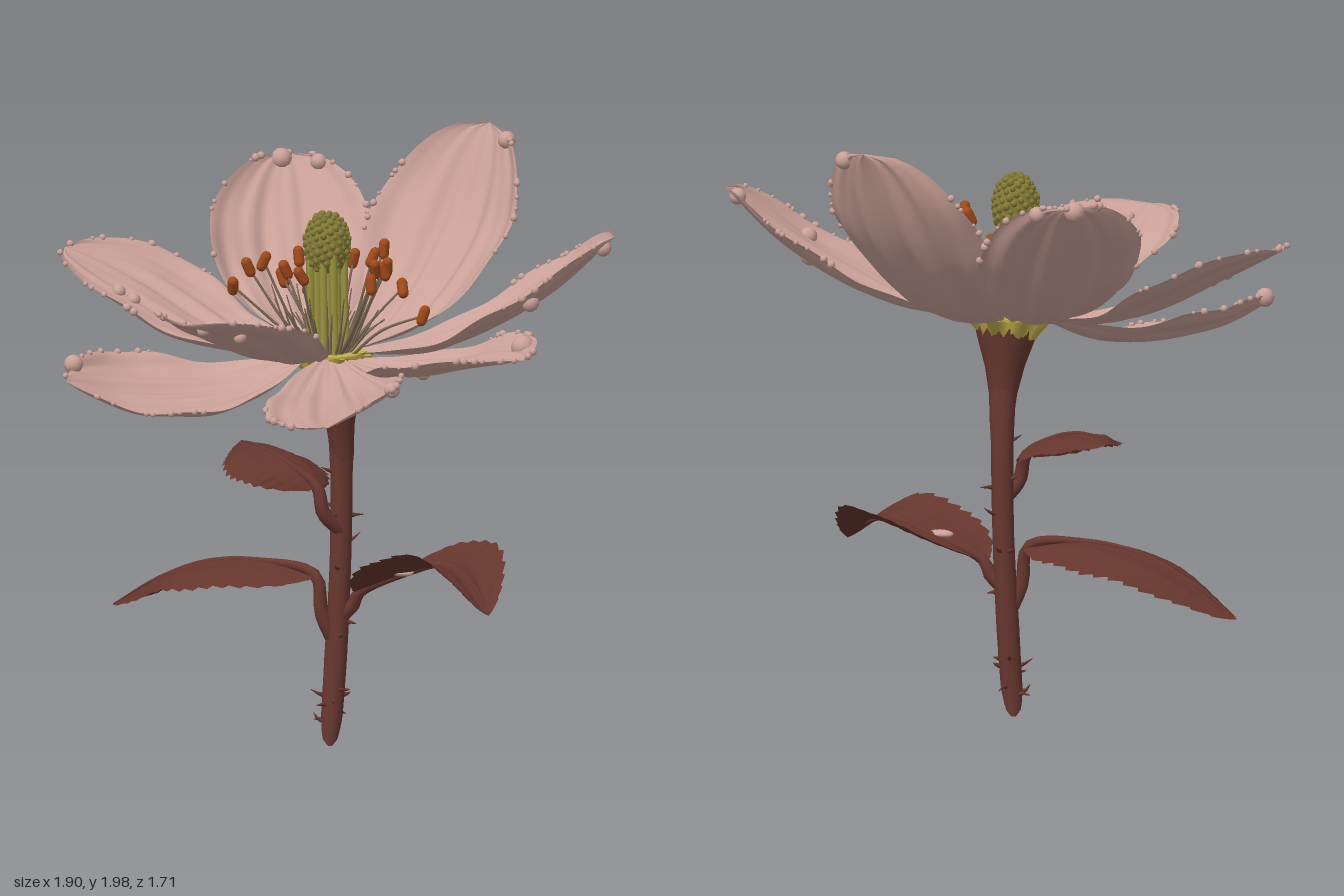
import * as THREE from 'three';
import { mergeGeometries } from 'three/addons/utils/BufferGeometryUtils.js';
import { ParametricGeometry } from 'three/addons/geometries/ParametricGeometry.js';

const V = (a) => new THREE.Vector3(...a);
const mat = (name, color, side = THREE.FrontSide) => {
  const m = new THREE.MeshStandardMaterial({ color, side });
  m.name = name;
  return m;
};

// Small seeded random generator
let seed = 11;
const rand = (a = 0, b = 1) => {
  seed = (seed * 16807) % 2147483647;
  return a + (b - a) * (seed / 2147483647);
};

// A curved blade: centre line, width profile, cupping across and roll; returns a point for (t, s)
function blade({ base, mids, tip, width, cup = 0.2, roll = 0, pow = 0.5, peak = 1.5, neck = 0.04, ripple = 0.007, teeth = 0 }) {
  const line = new THREE.CatmullRomCurve3([base, ...mids, tip].map(V));
  const flat = V(tip).sub(V(base)).setY(0).normalize();
  const across = new THREE.Vector3(flat.z, 0, -flat.x);
  return (t, s) => {
    const tan = line.getTangentAt(t);
    const side = across.clone().applyAxisAngle(tan, roll * Math.sin(t * 1.57));
    const up = tan.clone().cross(side).normalize();
    let w = width * Math.pow(Math.max(Math.sin(Math.PI * Math.pow(t, peak)), 0), pow);
    w = Math.max(w, neck * (1 - t)) + 0.002;
    if (teeth) w *= 1 - 0.12 * ((t * teeth) % 1);
    const folds = ripple * Math.sin(t * 3) * (Math.sin(s * 13 + t * 2) + 0.6 * Math.sin(s * 23 - t * 3) + s * s * Math.sin(t * 19 + s * 2));
    return line.getPointAt(t).addScaledVector(side, s * w).addScaledVector(up, cup * w * s * s + folds);
  };
}

function bladeGeometry(at, across, along) {
  const g = new ParametricGeometry((u, v, p) => p.copy(at(v, u * 2 - 1)), across, along);
  g.computeVertexNormals();
  return g;
}

// A tube through points with a radius at each point
function taper(points, radii, sides = 8, steps = 20) {
  const curve = new THREE.CatmullRomCurve3(points.map(V));
  const g = new THREE.TubeGeometry(curve, steps, 1, sides);
  const p = g.attributes.position, v = new THREE.Vector3();
  for (let i = 0; i <= steps; i++) {
    const c = curve.getPointAt(i / steps);
    const k = curve.getUtoTmapping(i / steps) * (radii.length - 1);
    const a = Math.min(Math.floor(k), radii.length - 2);
    const r = THREE.MathUtils.lerp(radii[a], radii[a + 1], k - a);
    for (let j = 0; j <= sides; j++) {
      const n = i * (sides + 1) + j;
      v.fromBufferAttribute(p, n).sub(c).multiplyScalar(r).add(c);
      p.setXYZ(n, v.x, v.y, v.z);
    }
  }
  return g;
}

const ball = (c, r) => new THREE.SphereGeometry(r, 10, 8).translate(c.x, c.y, c.z);

export function createModel() {
  seed = 11;
  const model = new THREE.Group();
  const petalMat = mat('dusty pink', 0xcaa198, THREE.DoubleSide);
  const stemMat = mat('stem brown', 0x683730, THREE.DoubleSide);
  const leafMat = mat('leaf brown', 0x64352d, THREE.DoubleSide);
  const yellow = mat('heart yellow', 0xc2b04c, THREE.DoubleSide);
  const olive = mat('pistil olive', 0x837a36);
  const straw = mat('style green', 0x9d9642);
  const tan = mat('filament tan', 0x7f6c58);
  const orange = mat('anther orange', 0xa04a1c);
  const add = (name, geometry, material, parent = model) => {
    const m = new THREE.Mesh(geometry, material);
    m.name = name;
    parent.add(m);
    return m;
  };

  // Petals, clockwise from the back one
  const petals = [
    { mids: [[0.05, 1.38, -0.4], [0.1, 1.64, -0.67]], tip: [0.12, 1.98, -0.85], width: 0.29, cup: 0.3 },
    { mids: [[-0.28, 1.38, -0.31], [-0.47, 1.62, -0.53]], tip: [-0.57, 1.83, -0.69], width: 0.27, cup: 0.28 },
    { mids: [[-0.4, 1.35, 0], [-0.72, 1.5, 0.04]], tip: [-0.94, 1.61, 0.1], width: 0.28, cup: 0.15, roll: -0.1 },
    { mids: [[-0.2, 1.23, 0.24], [-0.42, 1.24, 0.55]], tip: [-0.53, 1.31, 0.74], width: 0.25, roll: -0.3 },
    { mids: [[0.02, 1.38, 0.36], [0.01, 1.51, 0.66]], tip: [0, 1.58, 0.86], width: 0.27, pow: 0.6 },
    { mids: [[0.2, 1.27, 0.24], [0.4, 1.265, 0.55]], tip: [0.49, 1.27, 0.74], width: 0.23, roll: 0.28 },
    { mids: [[0.4, 1.33, 0.09], [0.73, 1.415, 0.19]], tip: [0.94, 1.46, 0.25], width: 0.24, roll: 0.1, pow: 0.6 },
    { mids: [[0.35, 1.37, -0.18], [0.67, 1.56, -0.34]], tip: [0.87, 1.75, -0.43], width: 0.25 },
  ];
  const flower = new THREE.Group();
  flower.name = 'flower';
  model.add(flower);
  const beads = [];
  const surfaces = petals.map((o, i) => {
    const d = V(o.tip).sub(V([0, 0, -0.05])).setY(0).normalize();
    const base = [d.x * 0.07, 1.32 + (i % 2) * 0.01, -0.05 + d.z * 0.07];
    const at = blade({ base, ...o });
    add('petal', bladeGeometry(at, 40, 40), petalMat, flower);
    // Fine beads along the rim
    for (let k = 0; k < 18; k++) beads.push(ball(at(rand(0.55, 1), k % 2 ? 1 : -1), rand(0.006, 0.014)));
    return at;
  });
  // Big drops: petal, place along, place across, radius
  const drops = [[0, 0.95, -0.8, 0.03], [1, 0.98, 0.2, 0.035], [1, 0.95, -0.8, 0.028], [2, 0.66, 0.45, 0.023], [2, 0.72, 0.48, 0.023],
    [3, 0.94, -0.9, 0.032], [4, 0.87, 0, 0.022], [4, 0.77, 0.35, 0.022], [5, 0.75, 0.9, 0.026], [6, 0.82, 0.75, 0.04],
    [6, 0.45, 0, 0.026], [7, 0.95, -0.2, 0.028], [7, 0.68, -0.75, 0.03]];
  for (const [i, t, s, r] of drops) beads.push(ball(surfaces[i](t, s), r));
  add('dewDrops', mergeGeometries(beads), petalMat, flower);

  // Yellow heart: open flare with a star-shaped rim
  const heart = new THREE.CylinderGeometry(0.13, 0.085, 0.075, 32, 1, true);
  const hp = heart.attributes.position;
  for (let i = 0; i < 33; i++) {
    const k = 1 + 0.22 * Math.cos((i / 32) * Math.PI * 16);
    hp.setXYZ(i, hp.getX(i) * k, hp.getY(i), hp.getZ(i) * k);
  }
  heart.computeVertexNormals();
  add('heart', heart, yellow, flower).position.set(0, 1.298, -0.06);
  add('heartTop', new THREE.CylinderGeometry(0.12, 0.12, 0.008, 24), yellow, flower).position.set(0, 1.335, -0.05);

  // Pistil: bundle of styles and a knobbly head
  const styles = [], knobs = [];
  for (let i = 0; i < 18; i++) {
    const a = i * 2.4, r = 0.068 * Math.sqrt((i + 4) / 22), c = Math.cos(a), s = Math.sin(a);
    styles.push(taper([[c * r * 1.1, 1.3, -0.04 + s * r * 1.1], [c * r, 1.5, -0.035 + s * r], [c * r, 1.68, -0.03 + s * r]], [0.013, 0.012, 0.014], 6, 6));
  }
  add('styles', mergeGeometries(styles), straw, flower);
  knobs.push(new THREE.SphereGeometry(1, 20, 14).scale(0.076, 0.108, 0.076).translate(0, 1.695, -0.03));
  for (let i = 0; i < 150; i++) {
    const y = 1 - (2 * (i + 0.5)) / 150, q = Math.sqrt(1 - y * y), a = i * 2.39996;
    knobs.push(new THREE.SphereGeometry(rand(0.008, 0.014), 6, 5).translate(Math.cos(a) * q * 0.073, 1.7 + y * 0.103, -0.03 + Math.sin(a) * q * 0.073));
  }
  add('pistilHead', mergeGeometries(knobs), olive, flower);

  // Stamens: [x, z] of each anther
  const anthers = [[-0.26, -0.33], [-0.26, -0.17], [-0.16, -0.11], [-0.18, -0.06], [-0.19, 0.06], [-0.26, 0.14], [-0.25, 0.06],
    [0.03, 0.18], [0.24, 0.08], [0.23, 0.04], [0.38, -0.02], [0.2, -0.18], [0.21, -0.04], [0.14, -0.09], [0.14, -0.18],
    [0.09, -0.24], [0.03, -0.3], [-0.04, -0.26], [-0.08, -0.18]];
  const filaments = [], tips = [];
  anthers.forEach(([x, z]) => {
    const reach = Math.hypot(x, z + 0.04), y = 1.74 - reach * 0.55 + rand(-0.06, 0.05);
    filaments.push(taper([[x * 0.2, 1.32, -0.04 + z * 0.2], [x * 0.55, 1.43, -0.02 + z * 0.55], [x, y, z]], [0.006, 0.005, 0.004], 5, 10));
    tips.push(new THREE.CapsuleGeometry(0.018, 0.036, 4, 8).rotateX(rand(-0.5, 0.5)).rotateZ(rand(-0.5, 0.5)).translate(x, y, z));
  });
  // Short bare filaments around the pistil
  for (let i = 0; i < 36; i++) {
    const a = i * 2.4, c = Math.cos(a), s = Math.sin(a), r = rand(0.11, 0.2);
    filaments.push(taper([[c * 0.06, 1.32, -0.04 + s * 0.06], [c * r * 0.7, 1.4, -0.04 + s * r * 0.7], [c * r, rand(1.42, 1.56), -0.04 + s * r]], [0.005, 0.004, 0.002], 5, 6));
  }
  add('filaments', mergeGeometries(filaments), tan, flower);
  add('anthers', mergeGeometries(tips), orange, flower);

  // Stem and flared cup with a toothed rim
  const stemPath = [[-0.02, 0, -0.08], [-0.02, 0.025, -0.08], [-0.016, 0.1, -0.085], [-0.01, 0.3, -0.1], [0, 0.6, -0.112], [0.003, 0.9, -0.115], [0.008, 1.1, -0.1], [0.01, 1.2, -0.085]];
  add('stem', taper(stemPath, [0.008, 0.026, 0.036, 0.038, 0.036, 0.037, 0.045, 0.06], 16, 56), stemMat);
  const profile = [[0.036, 0.96], [0.047, 1.08], [0.066, 1.17], [0.092, 1.25], [0.102, 1.28]].map(([r, y]) => new THREE.Vector2(r, y));
  const cup = new THREE.LatheGeometry(profile, 32);
  const cp = cup.attributes.position;
  for (let i = 0; i < cp.count; i++) {
    const y = cp.getY(i);
    const ring = Math.floor(i / profile.length);
    cp.setZ(i, cp.getZ(i) - 0.07 - (1.28 - y) * 0.13);
    if (i % profile.length === 4 && ring % 2) cp.setY(i, y + 0.03);
  }
  cup.computeVertexNormals();
  add('cup', cup, stemMat).position.x = 0.01;

  // Thorns around the stem
  const curve = new THREE.CatmullRomCurve3(stemPath.map(V));
  const thorns = [];
  for (let i = 0; i < 20; i++) {
    const p = curve.getPointAt(i < 10 ? rand(0.06, 0.18) : rand(0.22, 0.78)), a = i * 2.4;
    const c = Math.cos(a), s = Math.sin(a), l = rand(0.055, 0.08);
    thorns.push(taper([[p.x + c * 0.025, p.y, p.z + s * 0.025], [p.x + c * 0.045, p.y + 0.004, p.z + s * 0.045], [p.x + c * l, p.y + rand(-0.01, 0.025), p.z + s * l]], [0.011, 0.006, 0.001], 6, 4));
  }
  add('thorns', mergeGeometries(thorns), stemMat);

  // Leaves with stalks and a raised midrib
  const leaves = [
    { root: [-0.01, 0.34, -0.1], base: [-0.07, 0.57, -0.07], mids: [[-0.28, 0.6, -0.05], [-0.55, 0.555, -0.05]], tip: [-0.85, 0.39, -0.06], width: 0.2, cup: -0.35 },
    { root: [0.01, 0.44, -0.11], base: [0.07, 0.52, -0.12], mids: [[0.22, 0.59, -0.16], [0.43, 0.64, -0.14]], tip: [0.66, 0.53, 0.02], width: 0.19, cup: 0.3 },
    { root: [0.01, 0.72, -0.11], base: [-0.05, 0.87, -0.05], mids: [[-0.15, 0.935, -0.05], [-0.3, 0.97, -0.1]], tip: [-0.44, 0.96, -0.2], width: 0.18, cup: -0.35 },
  ];
  leaves.forEach((o) => {
    const leaf = new THREE.Group();
    leaf.name = 'leaf';
    model.add(leaf);
    const at = blade({ ...o, peak: 0.8, pow: 0.7, teeth: 14, neck: 0.03, ripple: 0.004 });
    add('leafBlade', bladeGeometry(at, 16, 70), leafMat, leaf);
    const mid = [0, 0.25, 0.5, 0.75, 1].map((t) => at(t, 0).toArray());
    const bend = [o.root[0] * 0.4 + o.base[0] * 0.6, o.root[1] * 0.55 + o.base[1] * 0.45, o.base[2]];
    add('leafStalk', taper([o.root, bend, ...mid], [0.026, 0.024, 0.02, 0.011, 0.008, 0.006, 0.002], 8, 30), stemMat, leaf);
  });
  // Drop resting on a leaf
  add('leafDrop', new THREE.SphereGeometry(1, 14, 10).scale(0.045, 0.014, 0.03), petalMat).position.set(0.22, 0.6, -0.14);

  return model;
}
